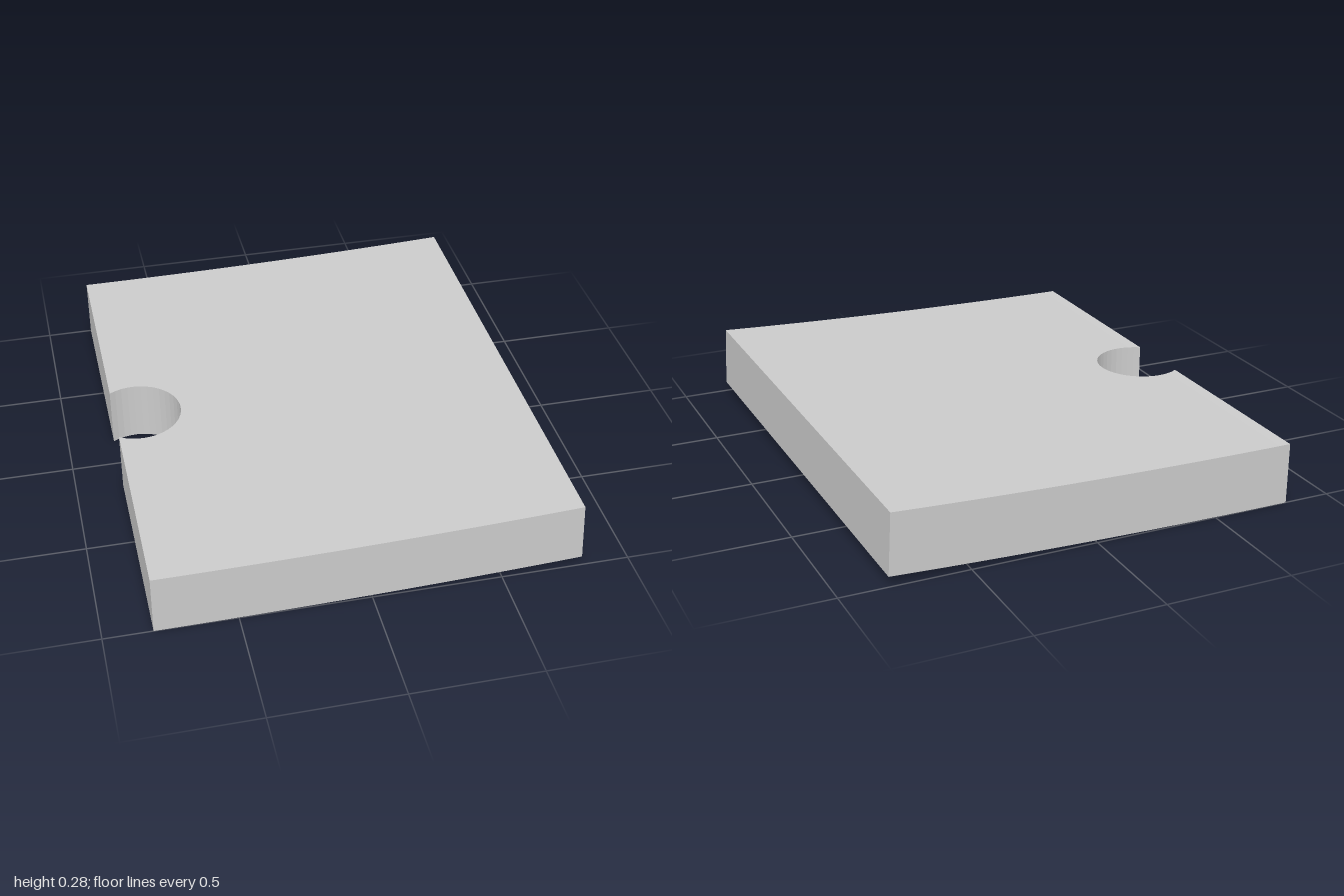
import * as THREE from 'three';

const LEFT = -0.8135, LENGTH = 1.627, HALF_DEPTH = 1, THICK = 0.244;
const BEND_RADIUS = 33;                         // slab curls gently upward towards +x
const NOTCH = { x: -0.72, r: 0.176, steps: 14 };

// Bend a flat slab position (x along the length, y through the thickness)
function bend(x, y, z) {
  const a = (x - LEFT) / BEND_RADIUS, r = BEND_RADIUS - y;
  return [LEFT + r * Math.sin(a), BEND_RADIUS - r * Math.cos(a), z];
}

// Stations along x, each with the inner z limit of one half of the slab
function stations() {
  const list = [];
  const start = Math.acos((LEFT - NOTCH.x) / NOTCH.r);
  for (let i = 0; i <= NOTCH.steps; i++) {
    const t = start * (1 - i / NOTCH.steps);
    list.push({ x: NOTCH.x + NOTCH.r * Math.cos(t), z: NOTCH.r * Math.sin(t) });
  }
  const from = NOTCH.x + NOTCH.r, steps = 12;
  for (let i = 1; i <= steps; i++) {
    list.push({ x: from + (LEFT + LENGTH - from) * i / steps, z: 0 });
  }
  return list;
}

function slabGeometry() {
  const positions = [];
  const list = stations();
  for (const side of [1, -1]) {
    const quad = (...corners) => {
      const p = corners.map(([x, y, z]) => bend(x, y, side * z));
      if (side < 0) p.reverse();
      for (const i of [0, 1, 2, 0, 2, 3]) positions.push(...p[i]);
    };
    for (let i = 0; i < list.length - 1; i++) {
      const a = list[i], b = list[i + 1], d = HALF_DEPTH, h = THICK;
      // top, underside, outer edge
      quad([a.x, h, d], [b.x, h, d], [b.x, h, b.z], [a.x, h, a.z]);
      quad([a.x, 0, a.z], [b.x, 0, b.z], [b.x, 0, d], [a.x, 0, d]);
      quad([a.x, 0, d], [b.x, 0, d], [b.x, h, d], [a.x, h, d]);
      // notch wall
      if (i < NOTCH.steps) quad([a.x, h, a.z], [b.x, h, b.z], [b.x, 0, b.z], [a.x, 0, a.z]);
    }
    // end faces
    const s = list[0], e = list[list.length - 1], d = HALF_DEPTH, h = THICK;
    quad([s.x, 0, s.z], [s.x, 0, d], [s.x, h, d], [s.x, h, s.z]);
    quad([e.x, h, e.z], [e.x, h, d], [e.x, 0, d], [e.x, 0, e.z]);
  }
  const geometry = new THREE.BufferGeometry();
  geometry.setAttribute('position', new THREE.Float32BufferAttribute(positions, 3));
  geometry.computeVertexNormals();
  return geometry;
}

export function createModel() {
  const group = new THREE.Group();
  group.name = 'notchedSlab';
  const slab = new THREE.Mesh(
    slabGeometry(),
    new THREE.MeshStandardMaterial({ color: 0xcccccc, flatShading: true })
  );
  slab.name = 'curvedSlab';
  group.add(slab);
  return group;
}
